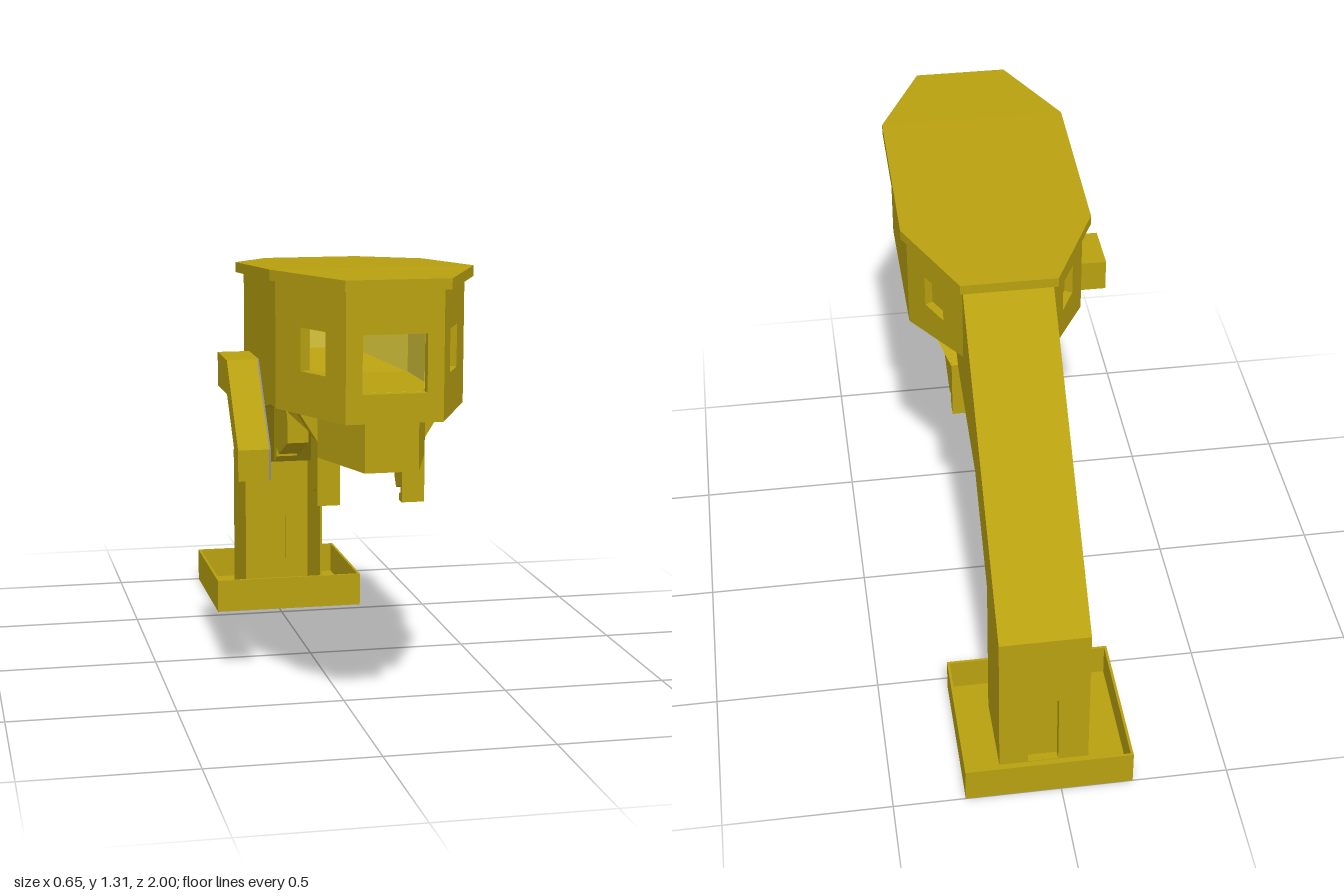
import * as THREE from 'three';
import { ConvexGeometry } from 'three/addons/geometries/ConvexGeometry.js';

export function createModel() {
  const model = new THREE.Group();
  const mat = (name, color) =>
    new THREE.MeshStandardMaterial({ name, color, side: THREE.DoubleSide });
  const olive = mat('olive paint', 0xb8a010);
  const pale = mat('pale interior', 0xd6c43a);
  const grey = mat('grey metal', 0x8a8a8a);

  const add = (name, geometry, material = olive) => {
    const mesh = new THREE.Mesh(geometry, material);
    mesh.name = name;
    model.add(mesh);
    return mesh;
  };
  const shapeOf = (pts) => new THREE.Shape(pts.map(([a, b]) => new THREE.Vector2(a, b)));
  const box = (name, x0, x1, y0, y1, z0, z1) =>
    add(name, new THREE.BoxGeometry(x1 - x0, y1 - y0, z1 - z0)
      .translate((x0 + x1) / 2, (y0 + y1) / 2, (z0 + z1) / 2));

  // Side profile in (z, y), extruded from x0 to x1
  const profile = (name, pts, x0, x1, material) =>
    add(name, new THREE.ExtrudeGeometry(shapeOf(pts), { depth: x1 - x0, bevelEnabled: false })
      .rotateY(-Math.PI / 2).translate(x1, 0, 0), material);

  // Plan outline in (x, z), extruded in y and then bent by a rule of z
  const slab = (name, pts, y0, y1, lift = () => 0) => {
    const g = new THREE.ExtrudeGeometry(shapeOf(pts), { depth: y1 - y0, bevelEnabled: false })
      .rotateX(Math.PI / 2).translate(0, y1, 0);
    const p = g.attributes.position;
    for (let i = 0; i < p.count; i++) p.setY(i, p.getY(i) + lift(p.getZ(i)));
    g.computeVertexNormals();
    return add(name, g);
  };

  // Upright panel from plan point a to b; hole = [from, to, bottom, top] with fractions along it
  const wall = (name, a, b, bottom, top, hole, { lined = false, recessed = false, t = 0.03 } = {}) => {
    const dx = b[0] - a[0], dz = b[1] - a[1], L = Math.hypot(dx, dz);
    const s = shapeOf([[0, bottom[0]], [L, bottom[1]], [L, top[1]], [0, top[0]]]);
    const place = (g) => g.rotateY(Math.atan2(-dz, dx)).translate(a[0], 0, a[1]);
    if (hole) {
      const [f0, f1, y0, y1] = hole, u0 = f0 * L, u1 = f1 * L;
      s.holes.push(new THREE.Path([[u0, y0], [u0, y1], [u1, y1], [u1, y0]]
        .map(([u, y]) => new THREE.Vector2(u, y))));
      if (recessed) {
        add(name + 'Recess', place(new THREE.PlaneGeometry(u1 - u0, y1 - y0)
          .translate((u0 + u1) / 2, (y0 + y1) / 2, -t + 0.004)));
      }
    }
    add(name, place(new THREE.ExtrudeGeometry(s, { depth: t, bevelEnabled: false }).translate(0, 0, -t)));
    if (lined) add(name + 'Lining', place(new THREE.ShapeGeometry(s).translate(0, 0, -t - 0.002)), pale);
  };

  // Base tray
  const [bx, zb, zf, bh, th] = [0.25, -1, -0.54, 0.11, 0.008];
  box('trayFloor', -bx, bx, 0, th, zb, zf);
  box('trayFront', -bx, bx, 0, bh, zf - th, zf);
  box('trayBack', -bx, bx, 0, bh, zb, zb + th);
  for (const s of [-1, 1]) {
    const x = s * (bx - th / 2);
    box('traySide', x - th / 2, x + th / 2, 0, bh, zb, zf);
  }

  // Hollow leg and sloping arm, open at the front of the leg
  const aw = 0.135, skin = 0.006;
  const armSide = [[-0.13, 1.225], [-0.89, 0.5], [-0.89, 0.005], [-0.64, 0.005], [-0.64, 0.5],
    [-0.39, 0.735], [0.02, 0.825], [0.15, 0.92], [-0.13, 0.97]];
  profile('armSideLeft', armSide, aw - skin, aw);
  profile('armSideRight', armSide, -aw, -aw + skin);
  const armPlate = (name, p, q) =>
    profile(name, [p, q, [q[0], q[1] + 0.008], [p[0], p[1] + 0.008]], -aw, aw);
  armPlate('armTop', [-0.89, 0.492], [-0.13, 1.217]);
  armPlate('armUnderside', [-0.64, 0.5], [-0.39, 0.735]);
  armPlate('armUnderside', [-0.39, 0.735], [0.02, 0.825]);
  armPlate('armUnderside', [0.02, 0.825], [0.15, 0.92]);
  wall('legBack', [aw, -0.89], [-aw, -0.89], [0.005, 0.005], [0.5, 0.5],
    [0.32, 0.66, 0.01, 0.255], { recessed: true });

  // Cabin walls, run around the plan from the front
  const roofDrop = (z) => -Math.max(0, 0.69 - z) * 0.064;
  const floorRise = (z) => Math.max(0, 0.15 - z) * 0.18;
  const plan = [[-0.135, 0.965], [0.135, 0.965], [0.27, 0.67], [0.27, 0.15],
    [0.135, -0.13], [-0.135, -0.13], [-0.27, 0.15], [-0.27, 0.67]];
  const names = ['cabinFront', 'cabinFrontLeft', 'cabinLeft', 'cabinBackLeft',
    'cabinBack', 'cabinBackRight', 'cabinRight', 'cabinFrontRight'];
  const holes = [[0.17, 0.83, 1.0, 1.16], [0.28, 0.63, 1.04, 1.16], null, [0.32, 0.65, 1.04, 1.14],
    null, [0.35, 0.68, 1.04, 1.14], null, [0.37, 0.72, 1.04, 1.16]];
  plan.forEach((a, i) => {
    const b = plan[(i + 1) % 8];
    wall(names[i], a, b, [a, b].map((p) => 0.92 + floorRise(p[1])),
      [a, b].map((p) => 1.283 + roofDrop(p[1])), holes[i],
      { lined: true, recessed: i === 3 || i === 5 });
  });
  const pick = (...ids) => ids.map((i) => plan[i]);
  slab('cabinFloor', pick(0, 1, 2, 3, 6, 7), 0.92, 0.93);
  slab('cabinFloorRear', pick(3, 4, 5, 6), 0.92, 0.93, floorRise);

  // Overhanging roof: level front, falling rear
  slab('roofFront', [[-0.145, 1], [0.145, 1], [0.29, 0.69], [-0.29, 0.69]], 1.28, 1.31);
  slab('roofRear', [[-0.29, 0.69], [0.29, 0.69], [0.29, 0.12], [0.145, -0.17],
    [-0.145, -0.17], [-0.29, 0.12]], 1.28, 1.31, roofDrop);

  // Chin and belly
  slab('chin', [[-0.075, 0.935], [0.075, 0.935], [0.155, 0.69], [-0.155, 0.69]], 0.78, 0.921);
  profile('belly', [[0.69, 0.921], [0.69, 0.83], [0.03, 0.83], [0.15, 0.921]], -0.153, 0.153);

  // Hooked clamps with slanted gussets
  const frontClamp = [[0.69, 0.92], [0.69, 0.64], [0.655, 0.64], [0.655, 0.66], [0.67, 0.665],
    [0.67, 0.685], [0.62, 0.67], [0.6, 0.7], [0.6, 0.92]];
  const rearClamp = [[0.24, 0.92], [0.24, 0.735], [0.1, 0.675], [0.06, 0.69], [0.06, 0.66],
    [0.045, 0.645], [0.02, 0.64], [0.02, 0.83], [0.15, 0.92]];
  for (const s of [-1, 1]) {
    const [x0, x1] = s > 0 ? [0.09, 0.155] : [-0.155, -0.09];
    profile('frontClamp', frontClamp, x0, x1);
    profile('rearClamp', rearClamp, x0, x1);
    const gusset = (name, zFront, zTop, zLow) => add(name, new ConvexGeometry([
      [0.15, 0.921, zFront], [0.215, 0.921, zFront], [0.155, 0.825, zFront], [0.15, 0.825, zFront],
      [0.15, 0.921, zTop], [0.215, 0.921, zTop], [0.155, 0.825, zLow], [0.15, 0.825, zLow],
    ].map(([x, y, z]) => new THREE.Vector3(s * x, y, z))));
    gusset('frontGusset', 0.69, 0.6, 0.6);
    gusset('rearGusset', 0.24, 0.15, 0.02);
  }

  // Side chute: level box, then a steep ramp with a grey inner cheek
  const [c0, c1] = [-0.365, -0.27];
  profile('chuteBox', [[0.24, 0.92], [0.41, 0.92], [0.41, 1.02], [0.24, 1.02]], c0, c1);
  const ramp = [[0.41, 0.92], [0.6, 0.7], [0.6, 0.79], [0.41, 1.02]];
  profile('chuteRamp', ramp, c0, c1 - 0.006);
  profile('chuteCheek', ramp, c1 - 0.006, c1 - 0.001, grey);

  // The tower sits slightly to the left to balance the chute
  model.children.forEach((m) => { m.position.x = 0.035; });
  return model;
}
